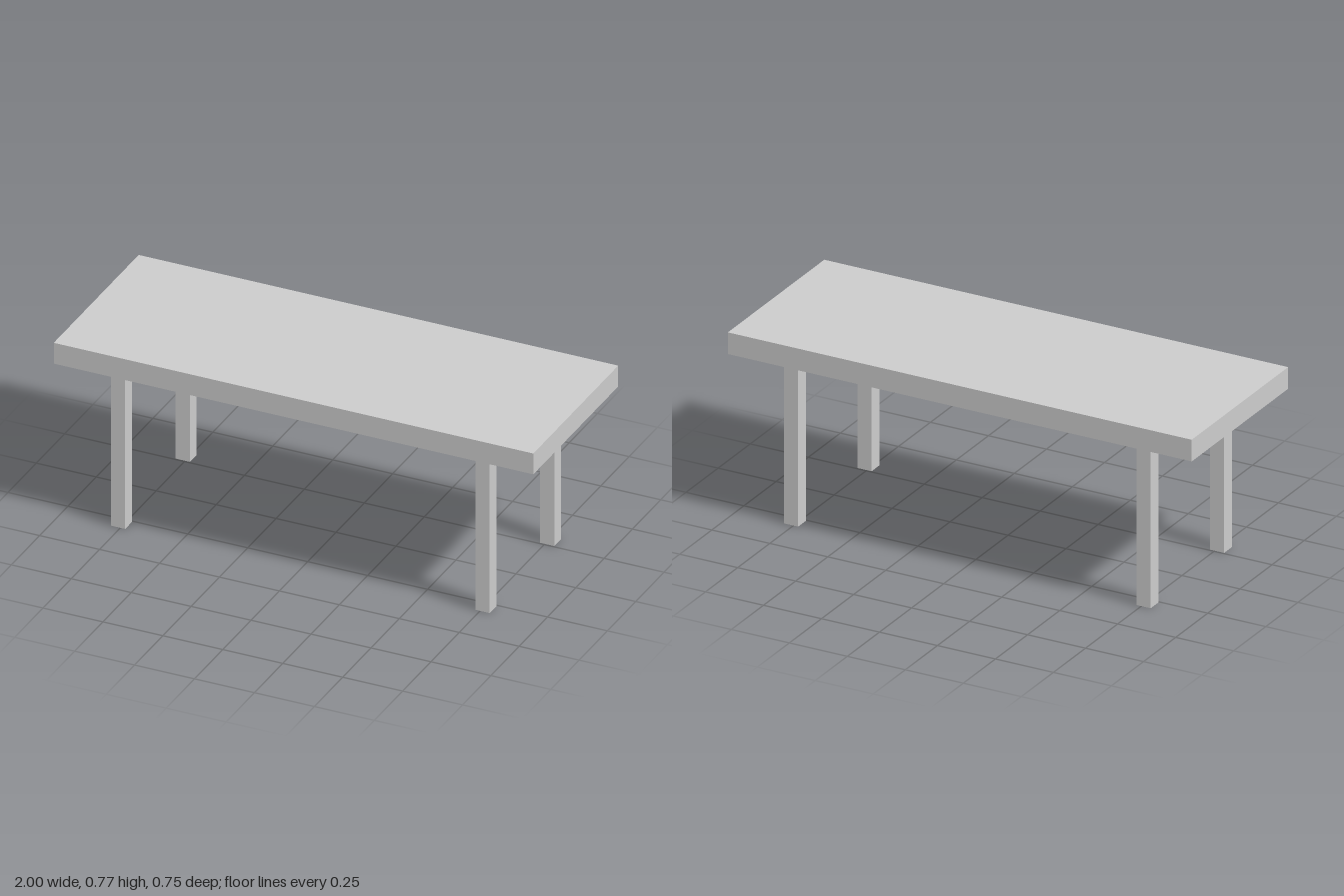
import * as THREE from 'three';

const WIDTH = 2, DEPTH = 0.75, HEIGHT = 0.77, TOP_THICKNESS = 0.09;
const LEG_SIZE = 0.06, LEG_X = 0.76, LEG_Z = 0.286;

export function createModel() {
  const table = new THREE.Group();
  table.name = 'table';
  const material = new THREE.MeshStandardMaterial({ color: 0xcccccc, flatShading: true });

  // Thick rectangular slab
  const top = new THREE.Mesh(new THREE.BoxGeometry(WIDTH, TOP_THICKNESS, DEPTH), material);
  top.name = 'tableTop';
  top.position.y = HEIGHT - TOP_THICKNESS / 2;
  table.add(top);

  // Four square legs, set in from the corners
  const legHeight = HEIGHT - TOP_THICKNESS;
  const legGeometry = new THREE.BoxGeometry(LEG_SIZE, legHeight, LEG_SIZE);
  for (const [zName, z] of [['front', LEG_Z], ['back', -LEG_Z]]) {
    for (const [xName, x] of [['Left', LEG_X], ['Right', -LEG_X]]) {
      const leg = new THREE.Mesh(legGeometry, material);
      leg.name = `${zName}${xName}Leg`;
      leg.position.set(x, legHeight / 2, z);
      table.add(leg);
    }
  }
  return table;
}
